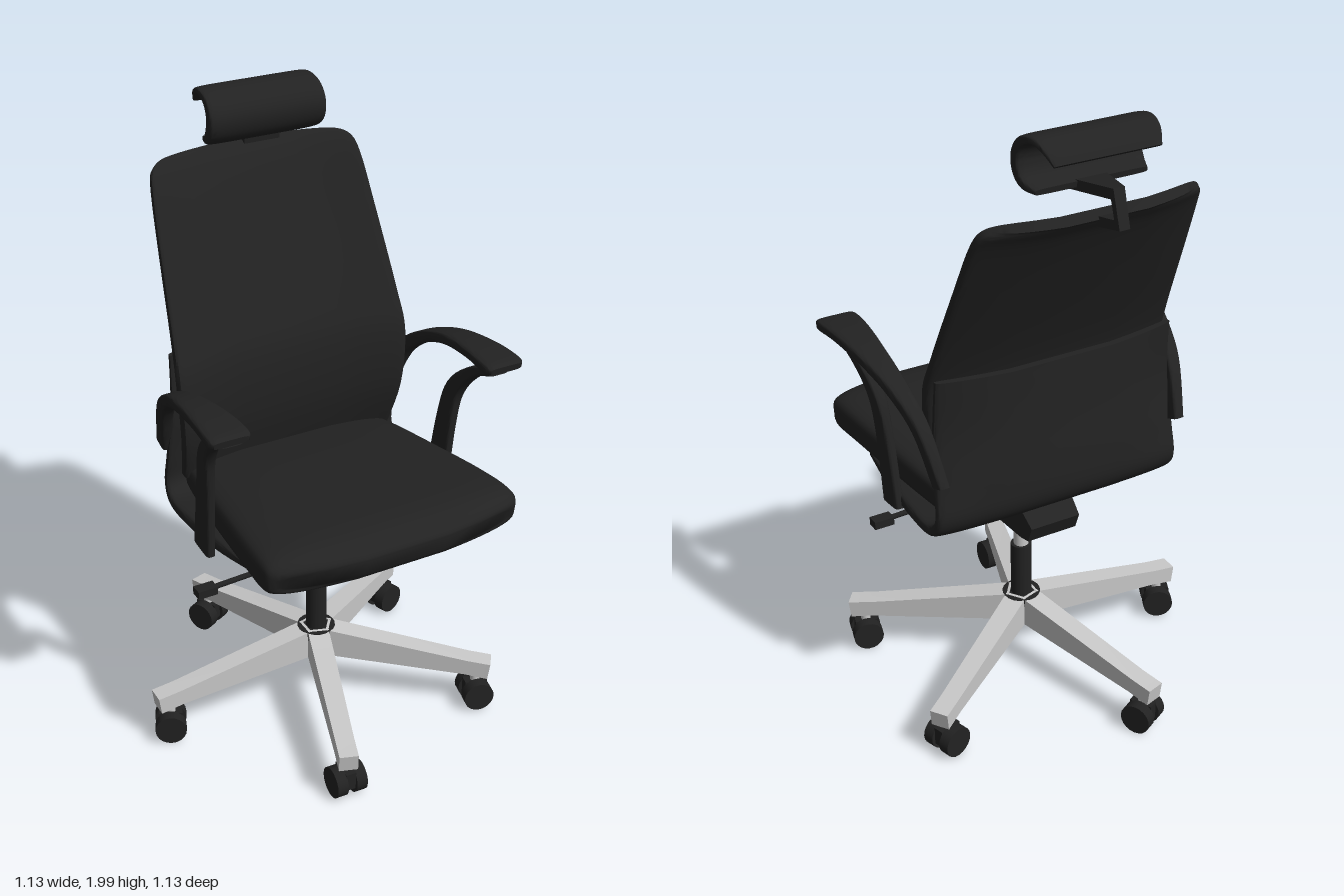
import * as THREE from 'three';
import { toCreasedNormals } from 'three/addons/utils/BufferGeometryUtils.js';

const black = new THREE.MeshStandardMaterial({ color: 0x222222 });
black.name = 'black fabric and plastic';
const metal = new THREE.MeshStandardMaterial({ color: 0xc8c8c8 });
metal.name = 'polished metal';

// Catmull-Rom blend of whole stations, component by component
function smooth(stations, sub) {
  const out = [];
  const last = stations.length - 1;
  for (let s = 0; s < last; s++) {
    const [a, b, c, d] = [s - 1, s, s + 1, s + 2].map(i => stations[Math.min(last, Math.max(0, i))]);
    for (let k = 0; k < sub; k++) {
      const t = k / sub;
      out.push(b.map((v, i) => {
        const cubic = 3 * (v - c[i]) + d[i] - a[i];
        const square = 2 * a[i] - 5 * v + 4 * c[i] - d[i];
        return v + 0.5 * t * (c[i] - a[i] + t * (square + t * cubic));
      }));
    }
  }
  out.push(stations[last]);
  return out;
}

// Sweep a rounded-rectangle section along stations [x, y, z, width, thickness, bow].
// bow pushes the section's sides along z. power sets how square the section is.
function sweep(stations, { sub = 5, power = 5, sides = 40, crease = 0.7 } = {}) {
  const rows = smooth(stations.map(s => [...s, 0].slice(0, 6)), sub);
  const pos = [], idx = [];
  const sq = v => Math.sign(v) * Math.abs(v) ** (2 / power);
  rows.forEach(([x, y, z, w, h, bow], r) => {
    const p = rows[Math.max(0, r - 1)], q = rows[Math.min(rows.length - 1, r + 1)];
    const len = Math.hypot(q[1] - p[1], q[2] - p[2]);
    const ny = (q[2] - p[2]) / len, nz = -(q[1] - p[1]) / len;
    for (let i = 0; i < sides; i++) {
      const a = (i + 0.5) / sides * Math.PI * 2;
      const u = sq(Math.cos(a)), v = sq(Math.sin(a)) * h / 2;
      pos.push(x + u * w / 2, y + ny * v, z + nz * v + bow * u * u);
    }
  });
  for (let r = 0; r < rows.length - 1; r++) {
    for (let i = 0; i < sides; i++) {
      const a = r * sides + i, b = r * sides + (i + 1) % sides;
      idx.push(a, b, b + sides, a, b + sides, a + sides);
    }
  }
  // end caps
  const e = (rows.length - 1) * sides;
  for (let i = 0; i < sides / 2 - 1; i++) {
    const [a, b, c, d] = [i, i + 1, sides - 2 - i, sides - 1 - i];
    idx.push(a, c, b, a, d, c, e + a, e + b, e + c, e + a, e + c, e + d);
  }
  const geo = new THREE.BufferGeometry();
  geo.setAttribute('position', new THREE.Float32BufferAttribute(pos, 3));
  geo.setIndex(idx);
  return toCreasedNormals(geo, crease);
}
const crisp = { sub: 1, power: 200, sides: 4, crease: 0.3 };

function add(parent, name, geometry, material, x = 0, y = 0, z = 0) {
  const mesh = new THREE.Mesh(geometry, material);
  mesh.name = name;
  mesh.position.set(x, y, z);
  parent.add(mesh);
  return mesh;
}

function addGroup(parent, name) {
  const group = new THREE.Group();
  group.name = name;
  parent.add(group);
  return group;
}

function createCaster(parent, turn) {
  const g = addGroup(parent, 'caster');
  g.position.set(0, 0.055, 0.53);
  g.rotation.y = turn;
  for (const s of [-1, 1]) {
    const wheel = new THREE.CylinderGeometry(0.05, 0.05, 0.036, 20);
    add(g, 'casterWheel', wheel, black, s * 0.033).rotation.z = Math.PI / 2;
  }
  add(g, 'casterHood', new THREE.BoxGeometry(0.034, 0.06, 0.075), black, 0, 0.012, 0);
  add(g, 'casterStem', new THREE.CylinderGeometry(0.016, 0.016, 0.07, 12), metal, 0, 0.06, 0);
}

function createBase(parent) {
  const base = addGroup(parent, 'base');
  base.position.set(0.02, 0, 0.008);
  // five spokes with casters
  const spoke = sweep([
    [0, 0.215, 0.03, 0.07, 0.1], [0, 0.158, 0.5, 0.06, 0.055], [0, 0.148, 0.575, 0.06, 0.058]
  ], crisp);
  [0.4, -0.3, 0.2, -0.4, 0.3].forEach((turn, i) => {
    const leg = addGroup(base, 'leg');
    leg.rotation.y = THREE.MathUtils.degToRad(52.5 + 72 * i);
    add(leg, 'spoke', spoke, metal);
    createCaster(leg, turn);
  });
  // hub and gas lift
  add(base, 'hub', new THREE.CylinderGeometry(0.062, 0.055, 0.1, 20), black, 0, 0.213, 0);
  add(base, 'columnSleeve', new THREE.CylinderGeometry(0.034, 0.034, 0.24, 24), black, 0, 0.33, 0);
  add(base, 'gasLift', new THREE.CylinderGeometry(0.024, 0.024, 0.2, 24), metal, 0, 0.53, 0);
}

function createMechanism(parent) {
  const g = addGroup(parent, 'tiltMechanism');
  add(g, 'frontHousing', sweep([
    [0, 0.685, 0, 0.2, 0.07], [0, 0.66, 0.13, 0.22, 0.11], [0, 0.658, 0.25, 0.22, 0.11], [0, 0.645, 0.285, 0.2, 0.06]
  ], crisp), black);
  add(g, 'rearHousing', sweep([
    [0, 0.63, -0.205, 0.17, 0.06], [0, 0.648, -0.16, 0.18, 0.1], [0, 0.635, 0, 0.18, 0.1], [0, 0.625, 0.15, 0.17, 0.07]
  ], crisp), black);
  add(g, 'mountPlate', new THREE.BoxGeometry(0.24, 0.06, 0.24), black, 0, 0.715, 0.04);
  // side levers
  for (const [s, y0, y1, len] of [[-1, 0.615, 0.597, 0.475], [1, 0.643, 0.628, 0.47]]) {
    const shaft = new THREE.CylinderGeometry(0.009, 0.009, len - 0.08, 10);
    const rod = add(g, 'lever', shaft, black, s * (len + 0.08) / 2, (y0 + y1) / 2, 0.1);
    rod.rotation.z = Math.PI / 2 + s * Math.atan2(y1 - y0, len - 0.08);
    add(g, 'leverPaddle', new THREE.BoxGeometry(0.065, 0.026, 0.04), black, s * (len - 0.03), y1, 0.1);
  }
}

function createArmrest(parent, s) {
  const g = addGroup(parent, s > 0 ? 'leftArmrest' : 'rightArmrest');
  // pad sweeping back into the shell
  add(g, 'armPad', sweep([
    [s * 0.46, 1.232, 0.335, 0.11, 0.022], [s * 0.46, 1.235, 0.31, 0.13, 0.036], [s * 0.46, 1.24, 0.2, 0.115, 0.036],
    [s * 0.458, 1.222, 0.05, 0.085, 0.038], [s * 0.445, 1.172, -0.08, 0.06, 0.042],
    [s * 0.428, 1.09, -0.18, 0.045, 0.05], [s * 0.405, 0.93, -0.25, 0.035, 0.06]
  ], { sides: 24 }), black);
  // front strut down to the seat pan
  add(g, 'armStrut', sweep([
    [s * 0.448, 1.22, 0.31, 0.07, 0.028], [s * 0.445, 1.17, 0.2, 0.05, 0.036], [s * 0.433, 1.08, 0.115, 0.04, 0.06],
    [s * 0.425, 0.95, 0.082, 0.032, 0.08], [s * 0.42, 0.715, 0.05, 0.03, 0.1]
  ], { sides: 24 }), black);
}

function createHeadrest(parent) {
  const g = addGroup(parent, 'headrest');
  // curled cushion, open at the back
  add(g, 'headCushion', sweep([
    [0, 1.84, -0.39, 0.35, 0.018], [0, 1.85, -0.345, 0.38, 0.035], [0, 1.878, -0.32, 0.39, 0.045, 0.005],
    [0, 1.925, -0.313, 0.39, 0.045, 0.005], [0, 1.968, -0.34, 0.385, 0.035, 0.005], [0, 1.985, -0.39, 0.375, 0.025],
    [0, 1.97, -0.435, 0.36, 0.02], [0, 1.935, -0.468, 0.33, 0.012]
  ], { power: 7 }), black);
  add(g, 'headBracket', sweep([
    [0, 1.832, -0.34, 0.12, 0.03], [0, 1.85, -0.515, 0.035, 0.035], [0, 1.77, -0.54, 0.033, 0.035], [0, 1.755, -0.44, 0.07, 0.03]
  ], crisp), black);
}

export function createModel() {
  const chair = new THREE.Group();
  chair.name = 'officeChair';
  createBase(chair);

  const upper = addGroup(chair, 'upperChair');
  upper.position.x = 0.025;
  createMechanism(upper);

  // seat cushion, back to front
  add(upper, 'seatCushion', sweep([
    [0, 0.808, -0.22, 0.7, 0.11], [0, 0.815, -0.1, 0.74, 0.13], [0, 0.825, 0.1, 0.79, 0.145], [0, 0.837, 0.3, 0.84, 0.145],
    [0, 0.838, 0.45, 0.86, 0.145, -0.02], [0, 0.832, 0.515, 0.84, 0.11, -0.04], [0, 0.826, 0.537, 0.76, 0.06, -0.05]
  ]), black);
  // one-piece pan and lower back shell
  add(upper, 'seatShell', sweep([
    [0, 0.765, 0.28, 0.78, 0.03], [0, 0.75, 0.1, 0.82, 0.055], [0, 0.742, -0.08, 0.84, 0.055], [0, 0.75, -0.19, 0.84, 0.05],
    [0, 0.8, -0.262, 0.83, 0.045, 0.03], [0, 0.9, -0.28, 0.82, 0.035, 0.06], [0, 1.08, -0.268, 0.8, 0.03, 0.07],
    [0, 1.25, -0.258, 0.79, 0.025, 0.05]
  ], { power: 6 }), black);
  // tall backrest, bottom to top
  add(upper, 'backrest', sweep([
    [0, 0.83, -0.235, 0.74, 0.05, 0.04], [0, 1.0, -0.205, 0.78, 0.055, 0.06], [0, 1.18, -0.205, 0.8, 0.055, 0.06],
    [0, 1.31, -0.24, 0.785, 0.045, 0.05], [0, 1.56, -0.35, 0.745, 0.04, 0.05], [0, 1.71, -0.422, 0.715, 0.04, 0.055],
    [0, 1.762, -0.456, 0.68, 0.038, 0.055], [0, 1.778, -0.475, 0.6, 0.03, 0.05]
  ], { power: 6 }), black);
  createHeadrest(upper);
  for (const s of [-1, 1]) createArmrest(upper, s);
  return chair;
}
